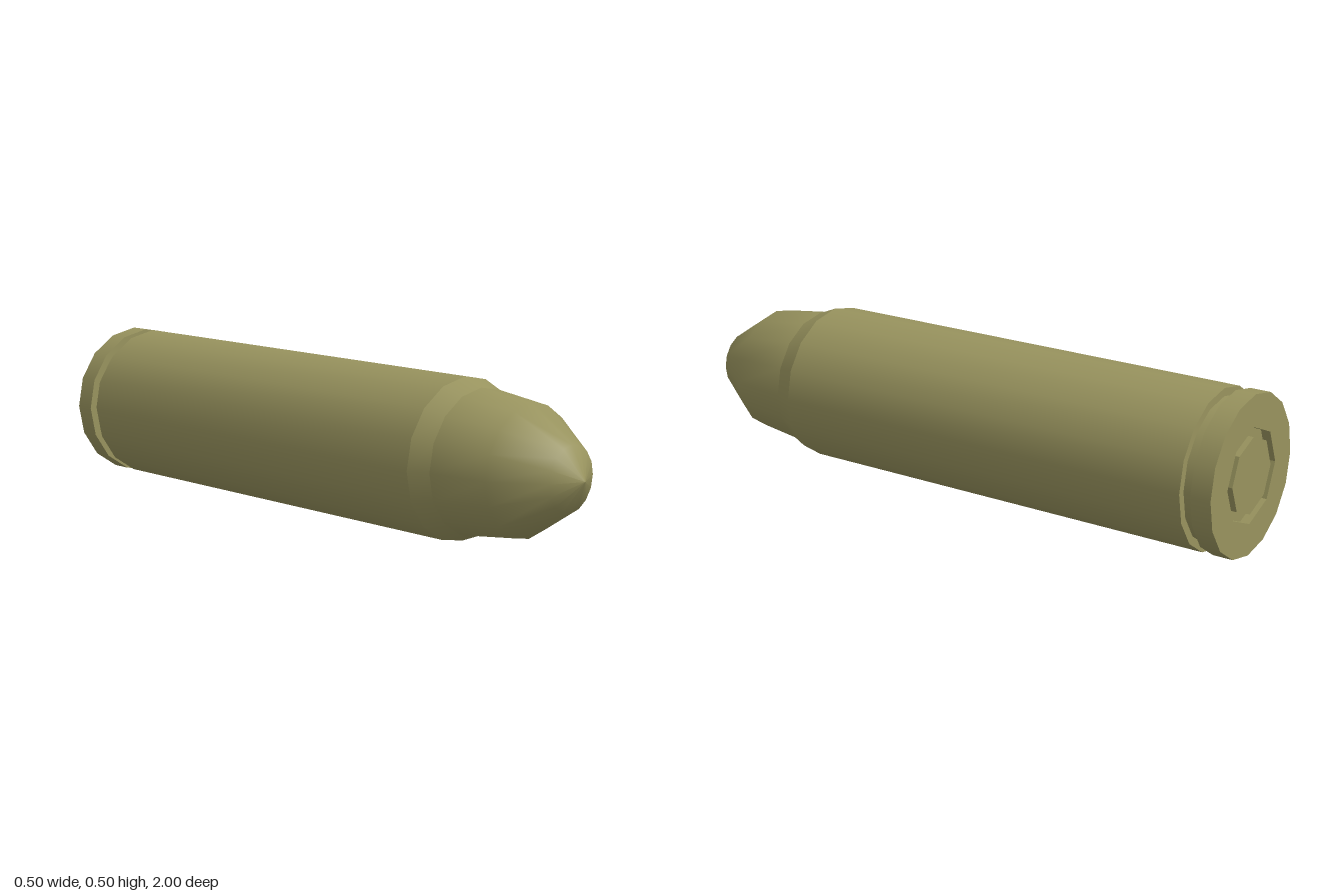
import * as THREE from 'three';

const olive = new THREE.MeshStandardMaterial({ color: 0x98935e });
olive.name = 'olive brass';

// Turned part along z; profile is [radius, z] pairs from back to front
function turned(name, profile, sides = 16, flat = false) {
  let geo = new THREE.LatheGeometry(profile.map(([r, z]) => new THREE.Vector2(r, z)), sides);
  geo.rotateX(Math.PI / 2);
  if (flat) {
    geo = geo.toNonIndexed();
    geo.computeVertexNormals();
  }
  const mesh = new THREE.Mesh(geo, olive);
  mesh.name = name;
  return mesh;
}

// Corners of a regular polygon with one corner straight up
function polygon(radius, sides) {
  return Array.from({ length: sides }, (_, i) => {
    const a = (i / sides) * Math.PI * 2;
    return new THREE.Vector2(Math.sin(a) * radius, Math.cos(a) * radius);
  });
}

export function createModel() {
  const model = new THREE.Group();
  model.name = 'cartridge';

  const R = 0.25, groove = 0.225;
  const primerR = 0.12, pocketR = 0.15, pocketZ = -0.97;

  // Rim, extraction groove, case wall and shoulder: each strip keeps hard edges
  model.add(
    turned('rim', [[R, -1], [R, -0.935]]),
    turned('rimFront', [[R, -0.935], [groove, -0.935]]),
    turned('extractionGroove', [[groove, -0.935], [groove, -0.9]]),
    turned('caseBack', [[groove, -0.9], [R, -0.9]]),
    turned('caseBody', [[R, -0.9], [R, 0.545]]),
    turned('shoulder', [[R, 0.545], [0.224, 0.61]]),
    turned('bulletTip', [[0.224, 0.61], [0.2, 0.8], [0.1, 0.95], [0, 1]])
  );

  // Rear face with an octagonal opening
  const face = new THREE.Shape(polygon(R, 16));
  face.holes.push(new THREE.Path(polygon(pocketR, 8)));
  const back = new THREE.Mesh(new THREE.ShapeGeometry(face), olive);
  back.name = 'rearFace';
  back.rotation.y = Math.PI;
  back.position.z = -1;
  model.add(back);

  // Octagonal primer set in a narrow groove
  model.add(turned('primer', [
    [0, -1], [primerR, -1], [primerR, pocketZ], [pocketR, pocketZ], [pocketR, -1]
  ], 8, true));

  model.position.y = R;
  return model;
}
